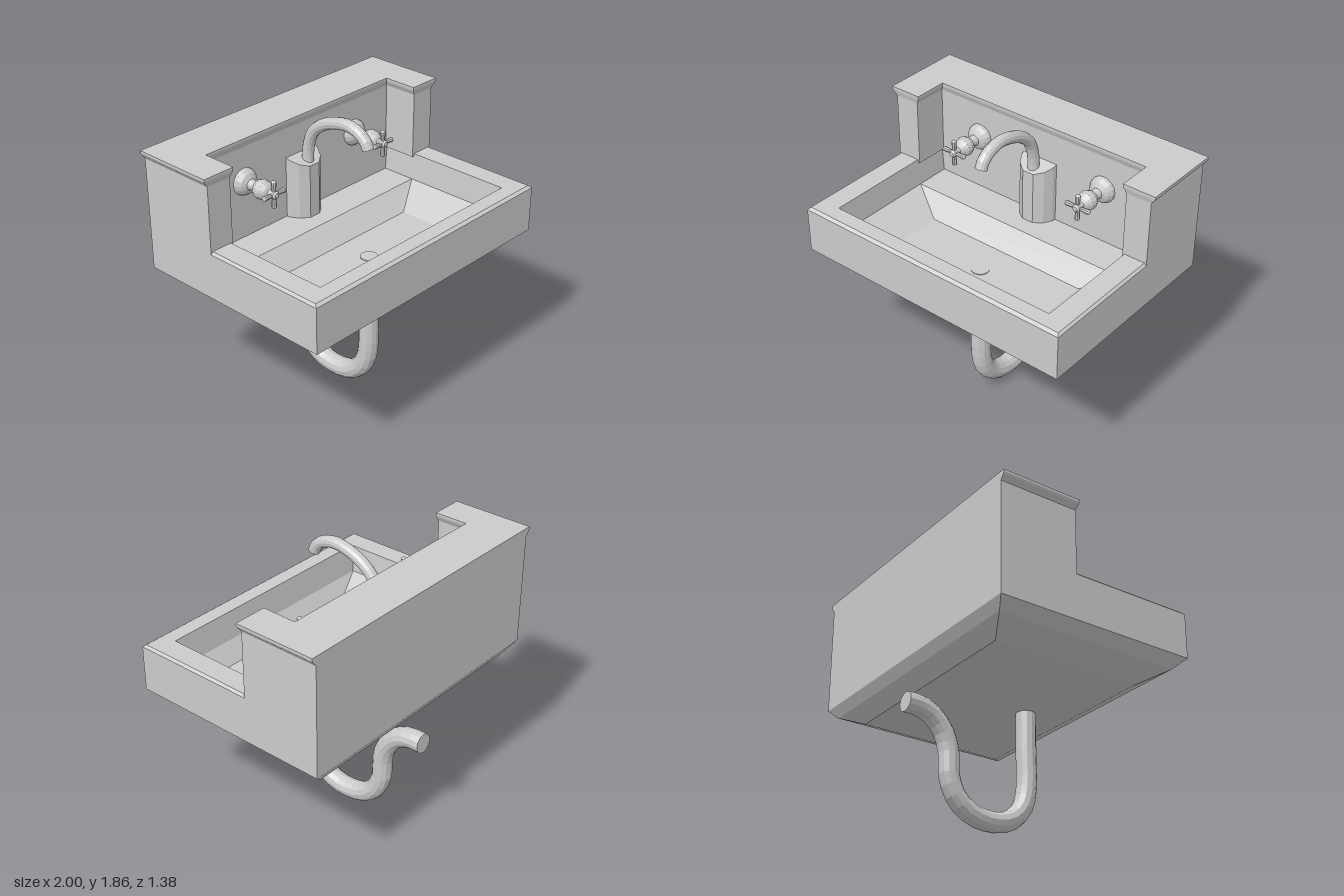
import * as THREE from 'three';

const material = new THREE.MeshStandardMaterial({ color: 0xcccccc, flatShading: true });

function addMesh(parent, name, geometry) {
  const mesh = new THREE.Mesh(geometry, material);
  mesh.name = name;
  parent.add(mesh);
  return mesh;
}

// Joins rings of [x, y, z] corners (anticlockwise from above) and closes both ends
function loft(rings) {
  const pos = [];
  const n = rings[0].length;
  for (let r = 0; r < rings.length - 1; r++) {
    const a = rings[r], b = rings[r + 1];
    for (let i = 0; i < n; i++) {
      const j = (i + 1) % n;
      pos.push(...a[i], ...a[j], ...b[j], ...a[i], ...b[j], ...b[i]);
    }
  }
  const cap = (ring, up) => {
    const flat = ring.map(p => new THREE.Vector2(p[0], -p[2]));
    for (const [i, j, k] of THREE.ShapeUtils.triangulateShape(flat, [])) {
      const ccw = THREE.ShapeUtils.area([flat[i], flat[j], flat[k]]) > 0;
      const order = ccw === up ? [i, j, k] : [i, k, j];
      order.forEach(v => pos.push(...ring[v]));
    }
  };
  cap(rings[0], false);
  cap(rings[rings.length - 1], true);
  const g = new THREE.BufferGeometry();
  g.setAttribute('position', new THREE.Float32BufferAttribute(pos, 3));
  g.computeVertexNormals();
  return g;
}

// Rectangular ring: half width, front z, back z, height
const rect = ([x, f, b, y]) => [[x, y, f], [x, y, b], [-x, y, b], [-x, y, f]];

// U-shaped ring of the backsplash, swelled outward by o
function uRing([o, y]) {
  const x = 0.97 + o, xi = 0.8 - o * 0.67, front = -0.15 + o * 0.33, wall = -0.385 + o * 0.5;
  return [[x, front], [x, -0.69], [-x, -0.69], [-x, front],
    [-xi, front], [-xi, wall], [xi, wall], [xi, front]].map(([px, pz]) => [px, y, pz]);
}

// Round pipe through [y, z] points in the middle plane, with closed ends
function pipe(parent, name, points, radius, sides, segments) {
  const group = new THREE.Group();
  group.name = name;
  const curve = new THREE.CatmullRomCurve3(points.map(([y, z]) => new THREE.Vector3(0, y, z)), false, 'centripetal');
  addMesh(group, name + 'Tube', new THREE.TubeGeometry(curve, segments, radius, sides));
  for (const t of [0, 1]) {
    const disc = addMesh(group, name + 'End', new THREE.CircleGeometry(radius, sides));
    const out = curve.getTangent(t).multiplyScalar(t ? 1 : -1);
    disc.position.copy(curve.getPoint(t));
    disc.quaternion.setFromUnitVectors(new THREE.Vector3(0, 0, 1), out);
  }
  parent.add(group);
}

// Tap with flared wall plate, round body and four-armed cross
function makeTap(side) {
  const tap = new THREE.Group();
  tap.name = side > 0 ? 'leftTap' : 'rightTap';
  const profile = [[0.088, 0], [0.085, 0.02], [0.068, 0.045], [0.036, 0.062], [0.03, 0.09], [0.032, 0.105],
    [0.052, 0.122], [0.064, 0.15], [0.06, 0.182], [0.04, 0.208], [0.022, 0.22], [0.02, 0.235],
    [0.026, 0.24], [0.026, 0.27], [0.016, 0.282], [0, 0.285]].map(p => new THREE.Vector2(...p));
  const body = addMesh(tap, 'tapBody', new THREE.LatheGeometry(profile, 16));
  body.rotation.x = Math.PI / 2;
  for (let i = 0; i < 4; i++) {
    const arm = new THREE.Group();
    arm.name = 'tapArm';
    addMesh(arm, 'armRod', new THREE.CylinderGeometry(0.017, 0.012, 0.07, 8)).position.y = 0.045;
    const tip = addMesh(arm, 'armTip', new THREE.SphereGeometry(0.017, 8, 4, 0, Math.PI * 2, 0, Math.PI / 2));
    tip.scale.y = 0.6;
    tip.position.y = 0.08;
    arm.position.z = 0.255;
    arm.rotation.z = i * Math.PI / 2;
    tap.add(arm);
  }
  tap.position.set(side * 0.48, 1.495, -0.385);
  return tap;
}

export function createModel() {
  const sink = new THREE.Group();
  sink.name = 'sink';

  // Basin: underside, outer walls, rim, inner walls, tap deck and sloped floor
  addMesh(sink, 'basin', loft([
    [0.72, 0.47, -0.55, 0.84],
    [0.9, 0.62, -0.65, 0.92],
    [0.97, 0.69, -0.69, 0.985],
    [0.97, 0.69, -0.69, 1.285],
    [0.955, 0.67, -0.69, 1.3],
    [0.815, 0.57, -0.385, 1.3],
    [0.8, 0.545, -0.385, 1.12],
    [0.8, 0.545, -0.15, 1.12],
    [0.58, 0.465, -0.03, 1.0],
  ].map(rect)));

  // Backsplash with side wings and a moulded top
  addMesh(sink, 'backsplash', loft([[0, 1.28], [0, 1.72], [0.008, 1.732], [0.024, 1.75], [0.03, 1.765], [0.03, 1.78]].map(uRing)));

  // Faceted spout block with a top that slopes forward
  const outline = [[0.13, -0.395], [0.125, -0.36], [0.095, -0.305], [0.04, -0.265]];
  const block = [...outline].reverse().map(([x, z]) => [x, z])
    .concat(outline.map(([x, z]) => [-x, z]));
  addMesh(sink, 'spoutBlock', loft([
    block.map(([x, z]) => [x, 1.11, z]),
    block.map(([x, z]) => [x, 1.525 - (z + 0.385) * 0.4, z]),
  ]));

  // Gooseneck spout
  pipe(sink, 'spout', [[1.44, -0.32], [1.58, -0.315], [1.69, -0.275], [1.765, -0.19], [1.81, -0.08],
    [1.824, 0.02], [1.8, 0.11], [1.76, 0.16], [1.718, 0.18]], 0.038, 12, 18);

  // Taps
  for (const side of [1, -1]) sink.add(makeTap(side));

  // Drain in the basin floor
  const drain = addMesh(sink, 'drain', new THREE.CylinderGeometry(0.057, 0.057, 0.01, 16));
  drain.position.set(0, 1.0, 0.195);

  // Waste pipe with trap
  pipe(sink, 'wastePipe', [[0.86, 0.195], [0.6, 0.195], [0.34, 0.195], [0.22, 0.168], [0.13, 0.1], [0.08, 0],
    [0.07, -0.1], [0.09, -0.21], [0.16, -0.31], [0.28, -0.37], [0.45, -0.38], [0.55, -0.41],
    [0.64, -0.48], [0.69, -0.575], [0.695, -0.69]], 0.065, 12, 30);

  return sink;
}
